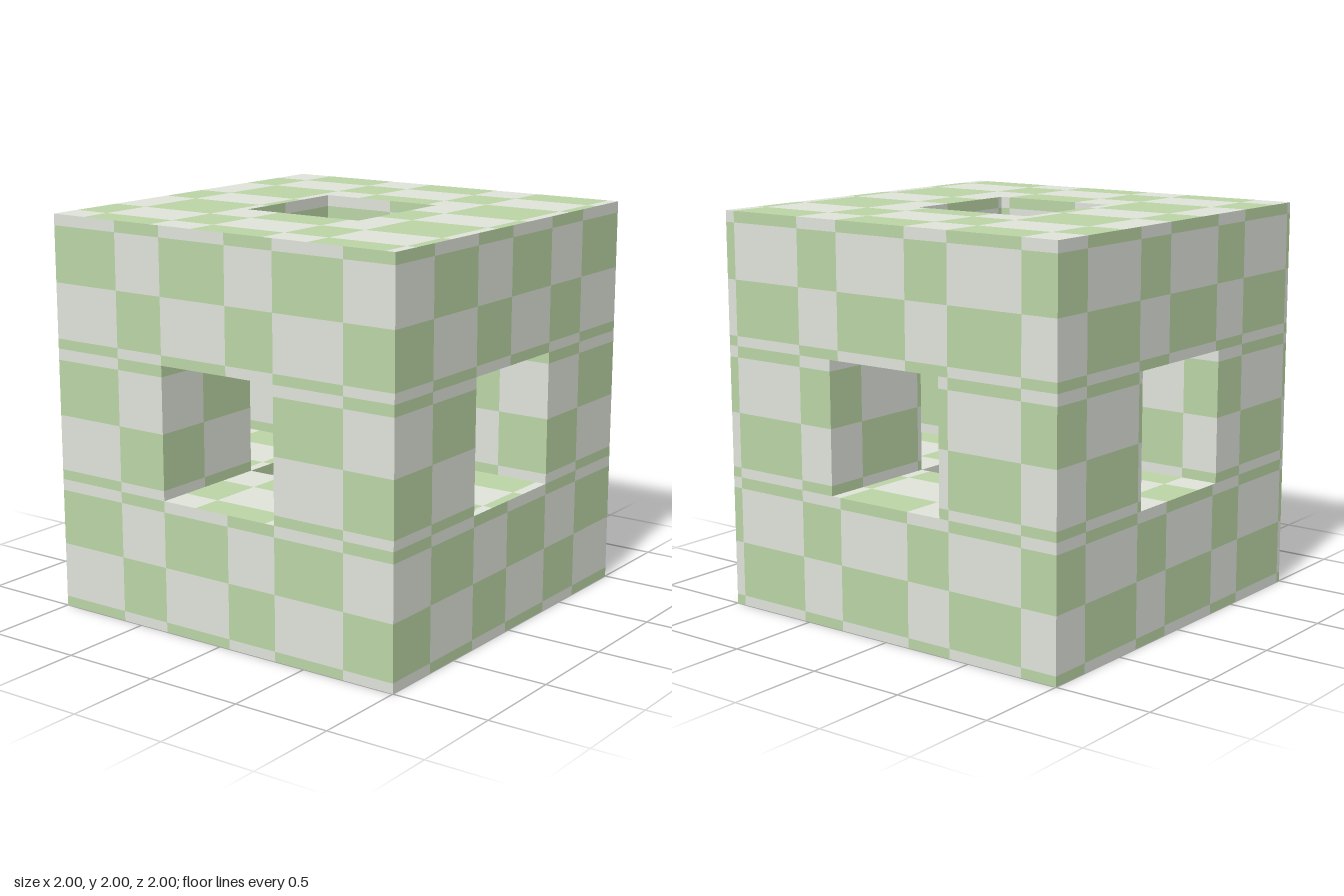
import * as THREE from 'three';

const CELL = 2 / 3; // the cube is a 3 x 3 x 3 block of cells

// Every cell wears the same checkered wrapper, unfolded as a cross:
// front, right, back and left in a strip, with top and bottom joined to the +x side.
// first = position of a checker line, pitch = check size, along and across the strip
const ALONG = { first: 0.303, pitch: 0.4175 };
const ACROSS = { first: 0.05, pitch: 0.28 };

// Per side: outward normal n, wrapper axes s and t (s x t = n), and place on the wrapper in cells
const SIDES = [
  { n: [0, 0, 1], s: [1, 0, 0], t: [0, 1, 0], place: [0, 0] },
  { n: [1, 0, 0], s: [0, 0, -1], t: [0, 1, 0], place: [1, 0] },
  { n: [0, 0, -1], s: [-1, 0, 0], t: [0, 1, 0], place: [2, 0] },
  { n: [-1, 0, 0], s: [0, 0, 1], t: [0, 1, 0], place: [3, 0] },
  { n: [0, 1, 0], s: [0, 0, -1], t: [-1, 0, 0], place: [1, 1] },
  { n: [0, -1, 0], s: [0, 0, -1], t: [1, 0, 0], place: [1, -1] },
];

// Splits one cell width at the checker lines; index tells the colour of each band
function bands({ first, pitch }, place) {
  const start = place * CELL;
  const result = [];
  let index = Math.floor((start - first) / pitch);
  for (let from = 0; from < CELL; index++) {
    const to = Math.min(first + (index + 1) * pitch - start, CELL);
    result.push({ from, to, index });
    from = to;
  }
  return result;
}

// A cell is solid unless it lies on one of the three square tunnels
function isSolid(c) {
  return c.every((i) => Math.abs(i) <= 1) && c.filter((i) => i === 0).length < 2;
}

// Adds the checker patches of one exposed cell face to the two position lists
function addFace(cell, side, lists) {
  const [n, s, t] = [side.n, side.s, side.t].map((a) => new THREE.Vector3(...a));
  const corner = new THREE.Vector3(...cell).multiplyScalar(CELL)
    .addScaledVector(n, CELL / 2).addScaledVector(s, -CELL / 2).addScaledVector(t, -CELL / 2);
  corner.y += 1;
  const at = (a, b) => corner.clone().addScaledVector(s, a).addScaledVector(t, b).toArray();
  for (const a of bands(ALONG, side.place[0])) {
    for (const b of bands(ACROSS, side.place[1])) {
      const p = at(a.from, b.from), q = at(a.to, b.from);
      const r = at(a.to, b.to), w = at(a.from, b.to);
      lists[Math.abs(a.index + b.index) % 2].push(...p, ...q, ...r, ...p, ...r, ...w);
    }
  }
}

function makeMesh(name, positions, material) {
  const geometry = new THREE.BufferGeometry();
  geometry.setAttribute('position', new THREE.Float32BufferAttribute(positions, 3));
  geometry.computeVertexNormals();
  const mesh = new THREE.Mesh(geometry, material);
  mesh.name = name;
  return mesh;
}

export function createModel() {
  const grey = new THREE.MeshStandardMaterial({ color: 0xdfe4da });
  grey.name = 'paleGrey';
  const green = new THREE.MeshStandardMaterial({ color: 0xbbd5a6 });
  green.name = 'softGreen';

  // Outer walls and tunnel walls: every cell face that borders empty space
  const lists = [[], []];
  for (let x = -1; x <= 1; x++) {
    for (let y = -1; y <= 1; y++) {
      for (let z = -1; z <= 1; z++) {
        const cell = [x, y, z];
        if (!isSolid(cell)) continue;
        for (const side of SIDES) {
          if (!isSolid(cell.map((c, k) => c + side.n[k]))) addFace(cell, side, lists);
        }
      }
    }
  }

  const model = new THREE.Group();
  model.name = 'tunnelledCube';
  model.add(makeMesh('greyChecks', lists[0], grey), makeMesh('greenChecks', lists[1], green));
  return model;
}
